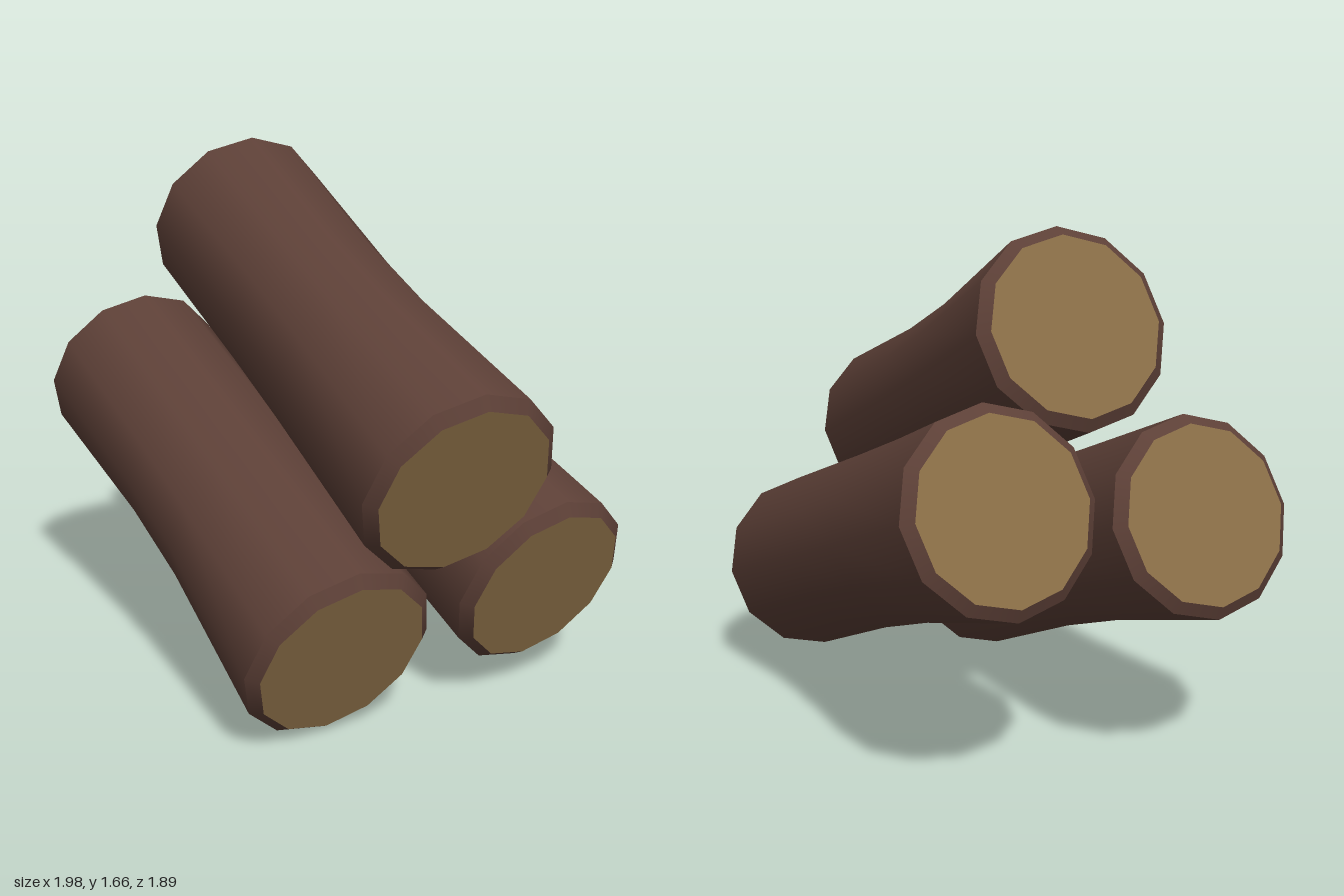
import * as THREE from 'three';

const SIDES = 12, R = 0.31, CAP_R = 0.275, BEVEL = 0.03, DENT = 0.036;

// Bark tube along y, shallowly hollowed on one side around its middle
function barkGeometry(length, dentAngle) {
  const geo = new THREE.CylinderGeometry(R, R, length, SIDES, 3, true);
  const p = geo.attributes.position;
  for (let i = 0; i < p.count; i++) {
    const x = p.getX(i), y = p.getY(i), z = p.getZ(i);
    if (Math.abs(y) > length * 0.4) continue;
    const a = Math.atan2(z, x);
    const r = R - DENT * (0.5 + 0.5 * Math.cos(a - dentAngle));
    p.setXYZ(i, Math.cos(a) * r, Math.sign(y) * length * 0.11, Math.sin(a) * r);
  }
  return geo;
}

// One log from the centre of its back cap to the centre of its front cap
function makeLog(name, back, front, dentDegrees, bark, wood) {
  const log = new THREE.Group();
  log.name = name;
  const a = new THREE.Vector3(...back), b = new THREE.Vector3(...front);
  const axis = b.clone().sub(a);
  const length = axis.length();
  axis.normalize();

  const add = (geo, mat, part) => {
    const mesh = new THREE.Mesh(geo, mat);
    mesh.name = part;
    log.add(mesh);
    return mesh;
  };
  add(barkGeometry(length - 2 * BEVEL, THREE.MathUtils.degToRad(dentDegrees)), bark, 'bark');

  // Bevelled rim and cut face at both ends
  for (const s of [1, -1]) {
    const end = s > 0 ? 'front' : 'back';
    const rim = new THREE.CylinderGeometry(CAP_R, R, BEVEL, SIDES, 1, true);
    const cut = new THREE.CircleGeometry(CAP_R, SIDES);
    cut.rotateX(-Math.PI / 2).rotateY(Math.PI / 2);
    for (const [geo, mat, part, y] of [
      [rim, bark, 'Rim', length / 2 - BEVEL / 2],
      [cut, wood, 'CutFace', length / 2],
    ]) {
      geo.translate(0, y, 0);
      if (s < 0) geo.rotateX(Math.PI);
      add(geo, mat, end + part);
    }
  }

  // Local y runs along the log, local x is level, local z points upward
  const side = new THREE.Vector3().crossVectors(axis, new THREE.Vector3(0, 1, 0)).normalize();
  const up = new THREE.Vector3().crossVectors(side, axis);
  log.quaternion.setFromRotationMatrix(new THREE.Matrix4().makeBasis(side, axis, up));
  log.position.copy(a).add(b).multiplyScalar(0.5);
  return log;
}

export function createModel() {
  const bark = new THREE.MeshStandardMaterial({ color: 0x5d4037 });
  bark.name = 'bark brown';
  const wood = new THREE.MeshStandardMaterial({ color: 0x8b6f47 });
  wood.name = 'cut wood';

  const model = new THREE.Group();
  model.name = 'logPile';
  model.add(
    makeLog('rightLog', [-0.785, 0.835, -0.28], [0.275, 0.285, 0.73], -50, bark, wood),
    makeLog('leftLog', [-0.31, 0.92, -0.735], [0.795, 0.38, 0.27], -140, bark, wood),
    makeLog('topLog', [-0.40, 1.385, -0.35], [0.61, 0.825, 0.71], 90, bark, wood),
  );
  return model;
}
